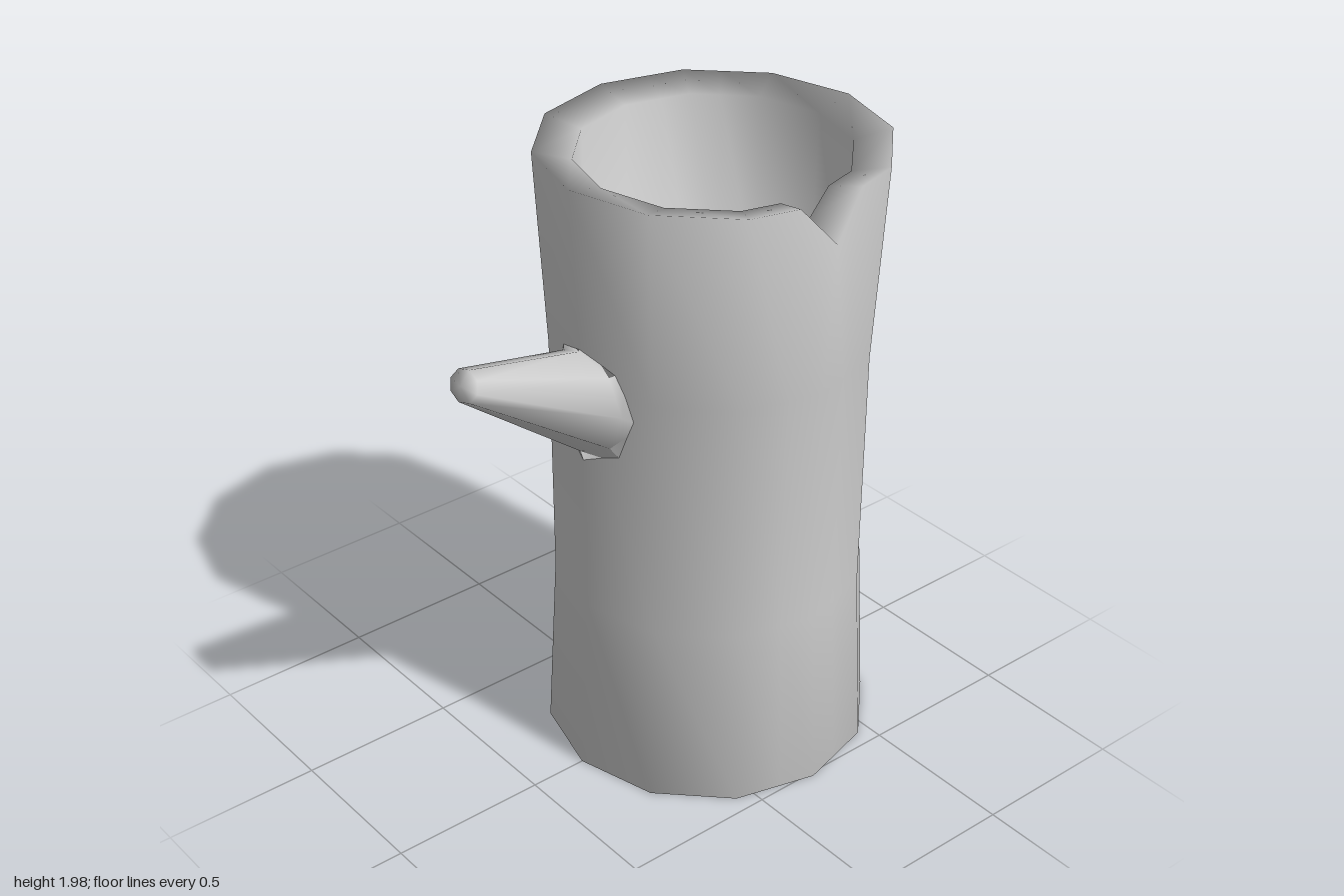
import * as THREE from 'three';

const rad = THREE.MathUtils.degToRad;
const AXIS_Z = -0.2;

// Joins rings of points into one smooth skin, closing both ends with a fan.
function loft(name, rings, start, end, material) {
  const n = rings[0].length;
  const points = [...rings.flat(), start, end];
  const s = rings.length * n;
  const index = [];
  for (let j = 0; j < n; j++) {
    const k = (j + 1) % n;
    for (let i = 0; i < rings.length - 1; i++) {
      const a = i * n + j, b = i * n + k;
      index.push(a, a + n, b + n, a, b + n, b);
    }
    index.push(s, j, k, s + 1, s - n + k, s - n + j);
  }
  const geometry = new THREE.BufferGeometry().setFromPoints(points);
  geometry.setIndex(index);
  geometry.computeVertexNormals();
  const mesh = new THREE.Mesh(geometry, material);
  mesh.name = name;
  return mesh;
}

export function createModel() {
  const group = new THREE.Group();
  group.name = 'hollowLog';
  const material = new THREE.MeshStandardMaterial({ color: 0xcccccc });

  // Twelve sides, with extra columns flanking the two notches
  const topNotch = 0, bottomNotch = 210, flank = 13;
  const columns = [];
  for (let a = 0; a < 360; a += 30) columns.push(a);
  columns.push(flank, 360 - flank, bottomNotch - flank, bottomNotch + flank);
  columns.sort((a, b) => a - b);

  const ring = (r, y, notch = null, depth = 0) => columns.map((a) => {
    const onCorner = a % 30 === 0;
    let radius = onCorner ? r : r * 0.967;
    // the bark bulges on both sides of the lower notch
    if (notch === bottomNotch && r > 0.5 && Math.abs(a - notch) === flank) radius = 0.525;
    const height = a === notch ? y + depth : y;
    return new THREE.Vector3(radius * Math.cos(rad(a)), height, AXIS_Z + radius * Math.sin(rad(a)));
  });

  // Trunk: lower hollow, bark, rim, upper hollow
  const lowerFloor = 0.15, upperFloor = 1.4;
  group.add(loft('trunk', [
    ring(0.385, lowerFloor),
    ring(0.4, 0.04, bottomNotch, 0.06),
    ring(0.515, 0.01, bottomNotch, 0.12),
    ring(0.484, 0.6),
    ring(0.486, 1.38),
    ring(0.52, 1.99, topNotch, -0.13),
    ring(0.405, 1.96, topNotch, -0.06),
    ring(0.39, upperFloor),
  ], new THREE.Vector3(0, lowerFloor, AXIS_Z), new THREE.Vector3(0, upperFloor, AXIS_Z), material));

  // Branch stub: oval root flaring into the bark, tapering to a slanted tip
  const sides = 8;
  const oval = (y, z, rx, ry, slant, wrap) => Array.from({ length: sides }, (_, i) => {
    const a = (i / sides) * Math.PI * 2;
    const x = rx * Math.cos(a), up = -ry * Math.sin(a);
    return new THREE.Vector3(x, y + up, z + slant * up - wrap * Math.abs(x));
  });
  group.add(loft('branchStub', [
    oval(1.3, 0.275, 0.2, 0.22, 0, 0.27),
    oval(1.315, 0.295, 0.15, 0.165, 0, 0.24),
    oval(1.512, 0.688, 0.063, 0.043, -0.47, 0),
  ], new THREE.Vector3(0, 1.3, 0.2), new THREE.Vector3(0, 1.515, 0.7), material));

  return group;
}
